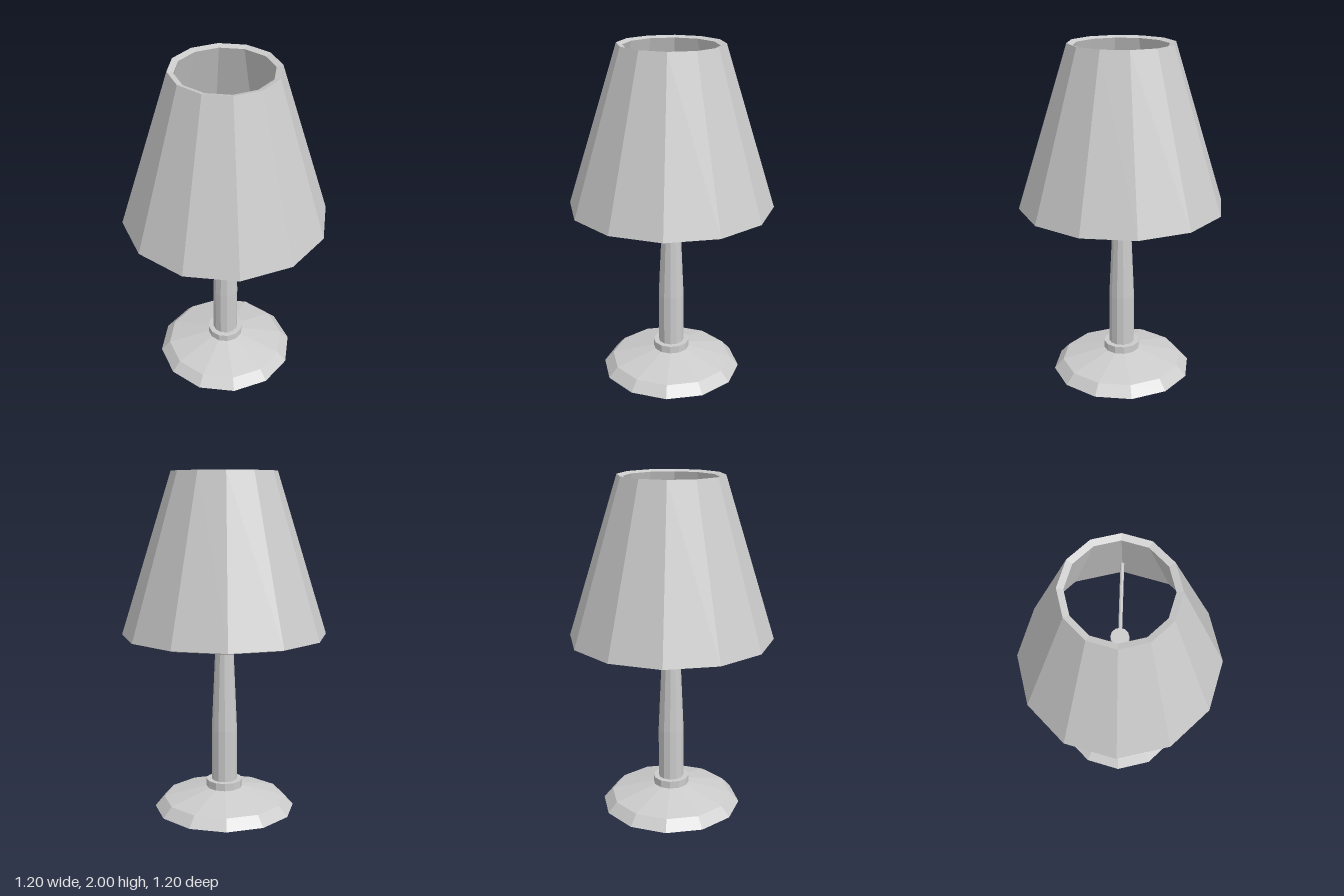
import * as THREE from 'three';

const SIDES = 12;
const material = new THREE.MeshStandardMaterial({ color: 0xcccccc, flatShading: true });

// Faceted turned part from [radius, height] pairs, listed counter-clockwise
function turned(name, profile) {
  const points = profile.map(([r, y]) => new THREE.Vector2(r, y));
  const mesh = new THREE.Mesh(new THREE.LatheGeometry(points, SIDES), material);
  mesh.name = name;
  return mesh;
}

export function createModel() {
  const lamp = new THREE.Group();
  lamp.name = 'tableLamp';

  // Shallow sloped foot
  lamp.add(turned('base', [[0, 0], [0.42, 0], [0.365, 0.06], [0.108, 0.125], [0, 0.125]]));

  // Ring where the stem meets the foot
  lamp.add(turned('collar', [[0.108, 0.12], [0.108, 0.17], [0, 0.17]]));

  // Stem: straight below, tapering above
  lamp.add(turned('stem', [[0.076, 0.165], [0.076, 0.48], [0.055, 0.95], [0.052, 1.4], [0, 1.4]]));

  // Thick-walled open shade, rims square to the wall
  lamp.add(turned('shade', [[0.6, 1.06], [0.305, 2], [0.27, 1.989], [0.565, 1.05], [0.6, 1.06]]));

  // Thin arms holding the shade, one on each side
  for (const side of [-1, 1]) {
    const arm = new THREE.Mesh(new THREE.CylinderGeometry(0.011, 0.011, 0.45, 8), material);
    arm.name = side > 0 ? 'leftArm' : 'rightArm';
    arm.rotation.z = Math.PI / 2;
    arm.position.set(side * 0.255, 1.36, 0);
    lamp.add(arm);
  }

  return lamp;
}
